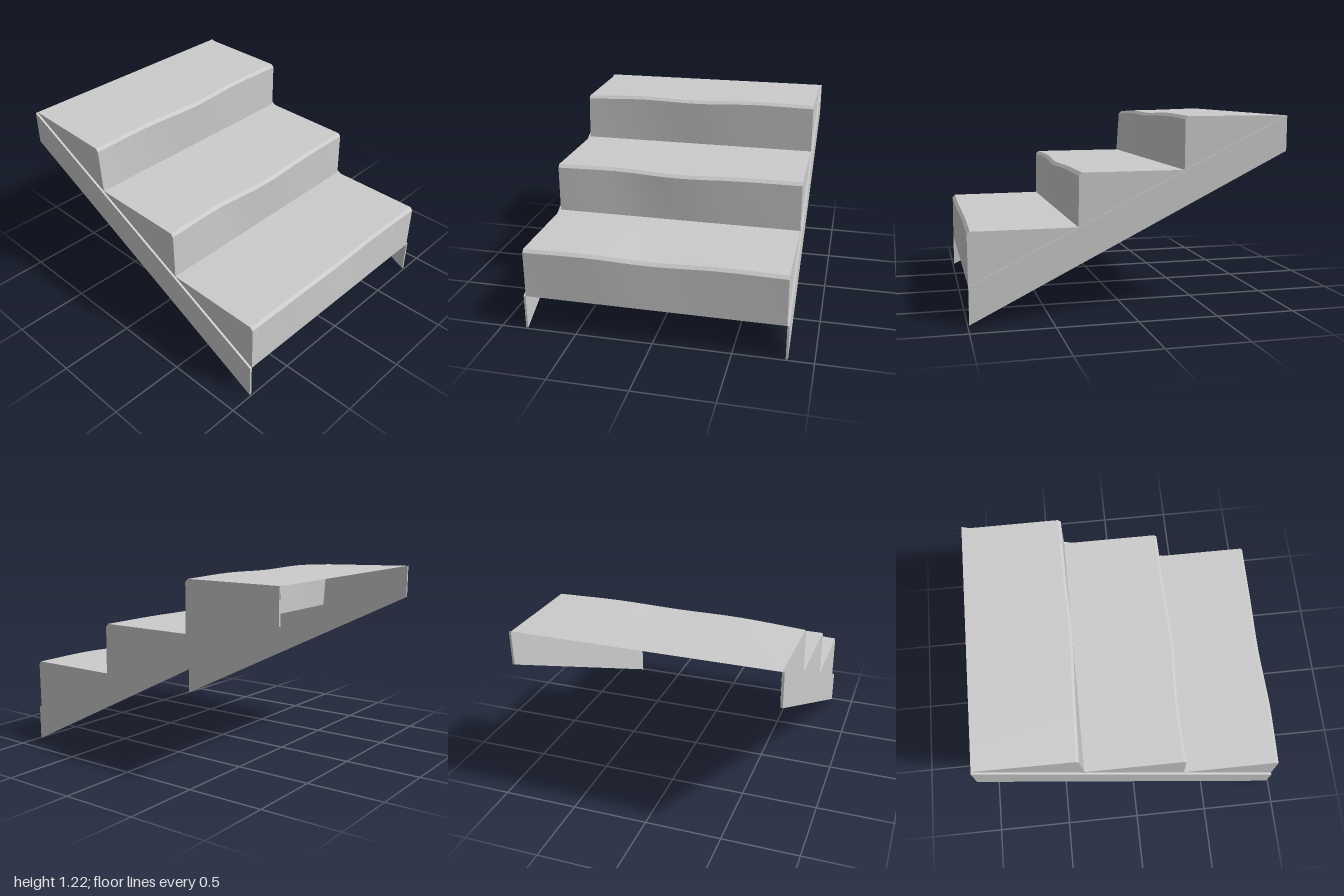
import * as THREE from 'three';
import { toCreasedNormals } from 'three/addons/utils/BufferGeometryUtils.js';

const HALF = 0.826;      // half width of the steps
const STRINGER = 0.014;  // thickness of the side boards
const SEGMENTS = 16;

// Corners where riser and tread meet, from the bottom to the top
const corners = [[0.99, 0.23], [0.33, 0.555], [-0.335, 0.884], [-1, 1.211]];

// Worn nosing of each step: x and y at five places from z = -HALF to +HALF
const nosings = [
  { x: [0.992, 0.988, 0.985, 0.995, 0.988], y: [0.556, 0.56, 0.546, 0.562, 0.552] },
  { x: [0.325, 0.33, 0.341, 0.318, 0.326], y: [0.884, 0.884, 0.876, 0.885, 0.882] },
  { x: [-0.337, -0.335, -0.326, -0.341, -0.354], y: [1.212, 1.219, 1.206, 1.211, 1.192] },
];

const material = new THREE.MeshStandardMaterial({ color: 0xcccccc });
const sheetMaterial = new THREE.MeshStandardMaterial({ color: 0xcccccc, side: THREE.DoubleSide });

// Smooth curve along the nosing
function nosingCurve({ x, y }) {
  return new THREE.CatmullRomCurve3(
    x.map((v, i) => new THREE.Vector3(v, y[i], HALF * (i / 2 - 1))));
}

// Cross-section of a step: tread back, tread edge, bevel, riser foot
function section(curve, t, [x0, y0], [x1, y1]) {
  const p = curve.getPoint(t);
  return [[x1, y1], [p.x - 0.018, p.y], [p.x, p.y - 0.02], [x0, y0]];
}

// Folded sheet of tread and riser lofted across the width
function stepSheet(curve, foot, back) {
  const positions = [], index = [];
  for (let i = 0; i <= SEGMENTS; i++) {
    const t = i / SEGMENTS, z = HALF * (2 * t - 1);
    for (const [x, y] of section(curve, t, foot, back)) positions.push(x, y, z);
  }
  for (let i = 0; i < SEGMENTS; i++) {
    for (let j = 0; j < 3; j++) {
      const a = i * 4 + j, b = a + 4;
      index.push(a, b, a + 1, b, b + 1, a + 1);
    }
  }
  const geometry = new THREE.BufferGeometry();
  geometry.setAttribute('position', new THREE.Float32BufferAttribute(positions, 3));
  geometry.setIndex(index);
  return toCreasedNormals(geometry, 0.5);
}

const shapeOf = (points) => new THREE.Shape(points.map(([x, y]) => new THREE.Vector2(x, y)));

export function createModel() {
  const model = new THREE.Group();
  model.name = 'stairs';
  const add = (parent, geometry, mat, name, z = 0) => {
    const mesh = new THREE.Mesh(geometry, mat);
    mesh.name = name;
    mesh.position.z = z;
    parent.add(mesh);
  };

  // Hollow steps, open at the back and below, with a cheek at each end
  nosings.forEach((nosing, n) => {
    const step = new THREE.Group();
    step.name = `step${n + 1}`;
    const foot = corners[n], back = corners[n + 1], curve = nosingCurve(nosing);
    add(step, stepSheet(curve, foot, back), sheetMaterial, 'treadAndRiser');
    for (const side of [-1, 1]) {
      const outline = section(curve, (side + 1) / 2, foot, back);
      outline.push([back[0], back[1] - 0.165]);
      add(step, new THREE.ShapeGeometry(shapeOf(outline)), sheetMaterial, 'cheek', side * HALF);
    }
    model.add(step);
  });

  // Sloping side boards that carry the steps
  const board = new THREE.ExtrudeGeometry(
    shapeOf([[-1, 0.99], [0.99, 0], [0.99, 0.23], [-1, 1.211]]),
    { depth: STRINGER, bevelEnabled: false });
  add(model, board, material, 'leftStringer', HALF + 0.001);
  add(model, board, material, 'rightStringer', -HALF - 0.001 - STRINGER);

  return model;
}
